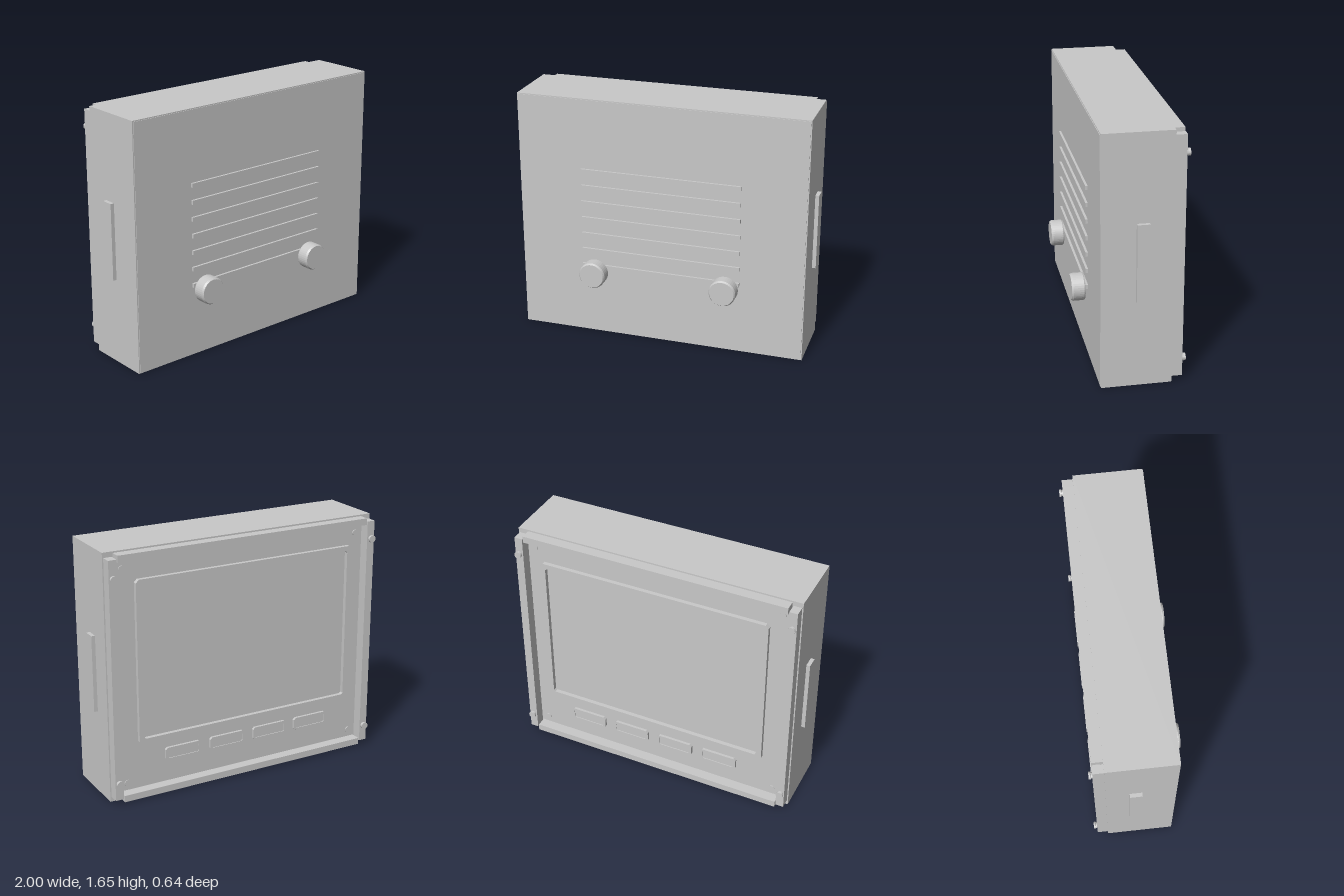
import * as THREE from 'three';

export function createModel() {
  const root = new THREE.Group();
  const grey = new THREE.MeshStandardMaterial({ color: 0xc8c8c8 });
  grey.name = 'plain grey';

  const add = (name, geometry) => {
    const mesh = new THREE.Mesh(geometry, grey);
    mesh.name = name;
    root.add(mesh);
    return mesh;
  };
  // Box given by its extents on each axis
  const box = (name, x0, x1, y0, y1, z0, z1) =>
    add(name, new THREE.BoxGeometry(x1 - x0, y1 - y0, z1 - z0))
      .position.set((x0 + x1) / 2, (y0 + y1) / 2, (z0 + z1) / 2);
  // Turned part along z, from [radius, z] points running towards +z
  const turned = (name, points, x, y, segments = 32) => {
    const g = new THREE.LatheGeometry(points.map(p => new THREE.Vector2(...p)), segments);
    g.rotateX(Math.PI / 2);
    const flat = g.toNonIndexed();
    flat.computeVertexNormals();
    add(name, flat).position.set(x, y, 0);
  };
  // Rectangle with clipped corners
  const trace = (p, w, h, r) => {
    const x = w / 2, y = h / 2;
    p.moveTo(-x + r, -y);
    p.lineTo(x - r, -y); p.lineTo(x, -y + r);
    p.lineTo(x, y - r); p.lineTo(x - r, y);
    p.lineTo(-x + r, y); p.lineTo(-x, y - r);
    p.lineTo(-x, -y + r); p.closePath();
    return p;
  };
  // Border with an open middle
  const border = (name, w, h, rim, r, x, y, z0, z1) => {
    const shape = trace(new THREE.Shape(), w, h, r);
    shape.holes.push(trace(new THREE.Path(), w - 2 * rim, h - 2 * rim, r * 0.5));
    const g = new THREE.ExtrudeGeometry(shape, { depth: z1 - z0, bevelEnabled: false });
    add(name, g).position.set(x, y, z0);
  };

  // Case with a slightly inset front plate
  box('case', -0.975, 0.975, 0, 1.655, -0.23, 0.216);
  box('frontPlate', -0.968, 0.968, 0.007, 1.648, 0.21, 0.22);

  // Front slats
  for (let i = 0; i < 7; i++) {
    const y = 0.49 + i * 0.1125;
    box('frontSlat', -0.543, 0.543, y - 0.014, y + 0.014, 0.215, 0.235);
  }

  // Top and bottom rails of the rear frame
  box('topRail', -0.905, 0.905, 1.6, 1.645, -0.3, -0.225);
  box('bottomRail', -0.905, 0.905, 0.01, 0.055, -0.3, -0.225);

  for (const s of [-1, 1]) {
    // Front knobs on short shafts
    turned('knobShaft', [[0.018, 0.21], [0.018, 0.245]], s * 0.45, 0.455, 20);
    turned('knob', [[0, 0.234], [0.085, 0.234], [0.09, 0.242], [0.09, 0.31], [0.082, 0.322], [0, 0.322]],
      s * 0.45, 0.455, 40);

    // Side grips
    const [a, b] = s > 0 ? [0.97, 1] : [-1, -0.97];
    box('sideGrip', a, b, 0.575, 1.085, -0.08, 0);

    // Side rails of the rear frame
    const [c, d] = s > 0 ? [0.912, 0.967] : [-0.967, -0.912];
    box('sideRail', c, d, 0.035, 1.622, -0.3, -0.225);

    for (const y of [0.15, 1.504]) {
      // Rail screws with a wider head
      turned('railScrew', [[0, -0.323], [0.024, -0.323], [0.024, -0.31], [0.02, -0.308], [0.02, -0.29]],
        s * 0.94, y, 16);
    }
    for (const y of [0.11, 1.54]) {
      // Small screws at the corners of the rear panel
      turned('panelScrew', [[0, -0.242], [0.02, -0.242], [0.02, -0.225]], s * 0.855, y, 16);
    }
  }

  // Rear panel and the raised screen border
  box('rearPanel', -0.905, 0.905, 0.075, 1.58, -0.235, -0.225);
  border('screenBorder', 1.58, 1.09, 0.035, 0.02, 0, 0.93, -0.3, -0.272);

  // Row of thin rear buttons, each with a lip
  for (const x of [-0.4875, -0.1675, 0.1575, 0.4825]) {
    box('buttonFace', x - 0.118, x + 0.118, 0.245, 0.315, -0.3, -0.288);
    border('buttonLip', 0.255, 0.088, 0.014, 0.014, x, 0.28, -0.306, -0.288);
  }

  return root;
}
